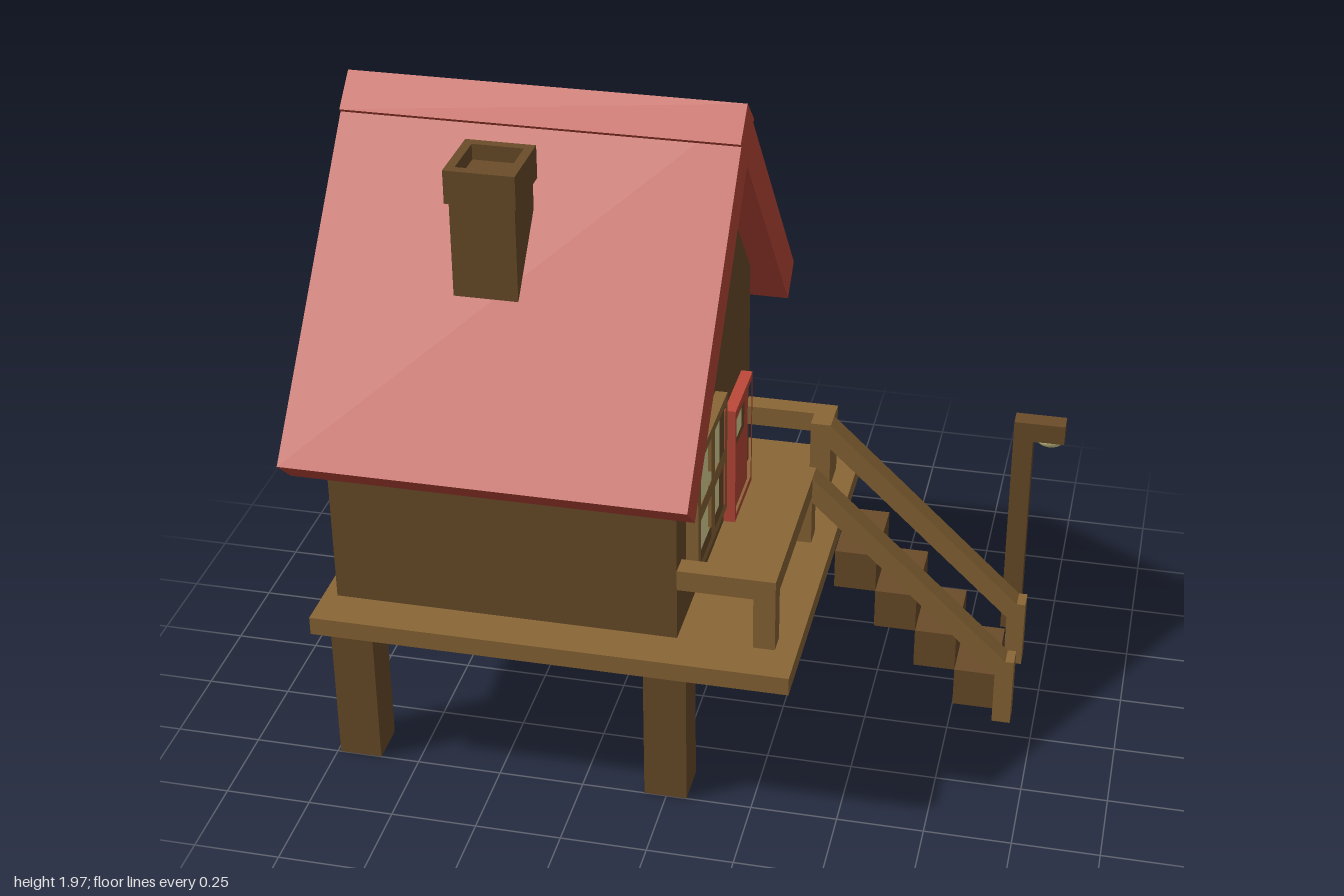
import * as THREE from 'three';

const mat = (color) => new THREE.MeshStandardMaterial({ color });

export function createModel() {
  const root = new THREE.Group();
  root.name = 'stiltCabin';
  const darkWood = mat(0x6b4d29), lightWood = mat(0x8a6636), red = mat(0xbd4839), glass = mat(0xe2da98);

  const add = (name, geometry, material) => {
    const mesh = new THREE.Mesh(geometry, material);
    mesh.name = name;
    root.add(mesh);
    return mesh;
  };

  // Box given by its extents on each axis
  const box = (name, material, x0, x1, y0, y1, z0, z1) => {
    const geometry = new THREE.BoxGeometry(x1 - x0, y1 - y0, z1 - z0);
    geometry.translate((x0 + x1) / 2, (y0 + y1) / 2, (z0 + z1) / 2);
    return add(name, geometry, material);
  };

  const polygon = (points) => points.map(([a, b]) => new THREE.Vector2(a, b));
  const rect = (a0, a1, b0, b1) => polygon([[a0, b0], [a1, b0], [a1, b1], [a0, b1]]);

  // Extrude a (z, y) outline along x
  const extrudeX = (name, material, outline, holes, x0, x1) => {
    const flip = (pts) => pts.map((p) => new THREE.Vector2(-p.x, p.y));
    const shape = new THREE.Shape(flip(outline));
    holes.forEach((h) => shape.holes.push(new THREE.Path(flip(h))));
    const geometry = new THREE.ExtrudeGeometry(shape, { depth: x1 - x0, bevelEnabled: false });
    geometry.rotateY(Math.PI / 2).translate(x0, 0, 0);
    return add(name, geometry, material);
  };

  // Deck on four stilts
  box('deck', lightWood, -1, 0.375, 0.505, 0.56, -0.625, 0.625);
  for (const x of [-0.99, -0.065])
    for (const z of [-0.5, 0.375]) box('stilt', darkWood, x, x + 0.125, 0, 0.505, z, z + 0.125);

  // House body with gables
  extrudeX('houseBody', darkWood,
    polygon([[-0.5, 0.56], [0.5, 0.56], [0.5, 1.228], [0, 1.785], [-0.5, 1.228]]), [], -0.96, 0.035);

  // Two roof slabs crossing at the ridge
  for (const s of [1, -1])
    extrudeX('roofSlab', red,
      polygon([[0, 1.965], [0.75, 1.13], [0.66, 1.049], [-0.09, 1.884]].map(([z, y]) => [s * z, y])),
      [], -1, 0.122);

  // Chimney with hollow cap
  box('chimneyStack', darkWood, -0.595, -0.415, 1.4, 1.84, 0.23, 0.405);
  const capShape = new THREE.Shape(rect(-0.604, -0.408, -0.418, -0.21));
  capShape.holes.push(new THREE.Path(rect(-0.578, -0.434, -0.39, -0.238)));
  const cap = new THREE.ExtrudeGeometry(capShape, { depth: 0.095, bevelEnabled: false });
  cap.rotateX(-Math.PI / 2).translate(0, 1.79, 0);
  add('chimneyCap', cap, darkWood);

  // Four-pane window
  const panes = [];
  for (const z of [0.025, 0.212])
    for (const y of [0.718, 0.905]) panes.push(rect(z, z + 0.137, y, y + 0.138));
  extrudeX('windowFrame', lightWood, rect(-0.005, 0.383, 0.688, 1.072), panes, 0.03, 0.07);
  box('windowGlass', glass, 0.03, 0.05, 0.7, 1.06, 0.01, 0.37);

  // Door: frame, recessed leaf and small light
  extrudeX('doorFrame', red, rect(-0.375, -0.125, 0.56, 0.94), [rect(-0.36, -0.14, 0.582, 0.92)], 0.03, 0.07);
  extrudeX('doorLeaf', red, rect(-0.365, -0.135, 0.57, 0.93), [rect(-0.312, -0.188, 0.787, 0.873)], 0.03, 0.058);
  box('doorGlass', glass, 0.03, 0.048, 0.78, 0.88, -0.32, -0.18);

  // Deck railing, open in front of the stairs
  box('frontRail', lightWood, 0.25, 0.312, 0.72, 0.782, -0.125, 0.5);
  box('frontRail', lightWood, 0.25, 0.312, 0.72, 0.782, -0.5, -0.375);
  for (const z of [0.4375, -0.5]) box('sideRail', lightWood, 0.035, 0.25, 0.72, 0.782, z, z + 0.0625);
  for (const z of [0.4375, -0.125, -0.4375, -0.5])
    box('railPost', lightWood, 0.25, 0.312, 0.56, 0.72, z, z + 0.0625);

  // Stair handrails with foot posts
  for (const z of [-0.125, -0.4375]) {
    const shape = new THREE.Shape(polygon([[0.31, 0.782], [0.922, 0.205], [0.88, 0.165], [0.29, 0.72]]));
    const rail = new THREE.ExtrudeGeometry(shape, { depth: 0.0625, bevelEnabled: false });
    add('stairRail', rail.translate(0, 0, z), lightWood);
    box('stairFootPost', lightWood, 0.877, 0.932, 0, 0.22, z, z + 0.0625);
  }

  // Steps
  for (let i = 0; i < 4; i++) {
    const x = 0.375 + i * 0.125, y = 0.375 - i * 0.125;
    box('step', darkWood, x, x + 0.125, y, y + 0.125, -0.375, -0.125);
  }

  // Lamp post with an arm and a half-dome lamp
  box('lampPost', darkWood, 0.845, 0.905, 0, 0.69, -0.627, -0.567);
  box('lampArm', darkWood, 0.845, 1, 0.69, 0.752, -0.627, -0.567);
  const lamp = new THREE.SphereGeometry(1, 20, 8, 0, Math.PI * 2, Math.PI / 2, Math.PI / 2);
  add('lamp', lamp.scale(0.043, 0.028, 0.027).translate(0.955, 0.691, -0.597), glass);

  return root;
}
